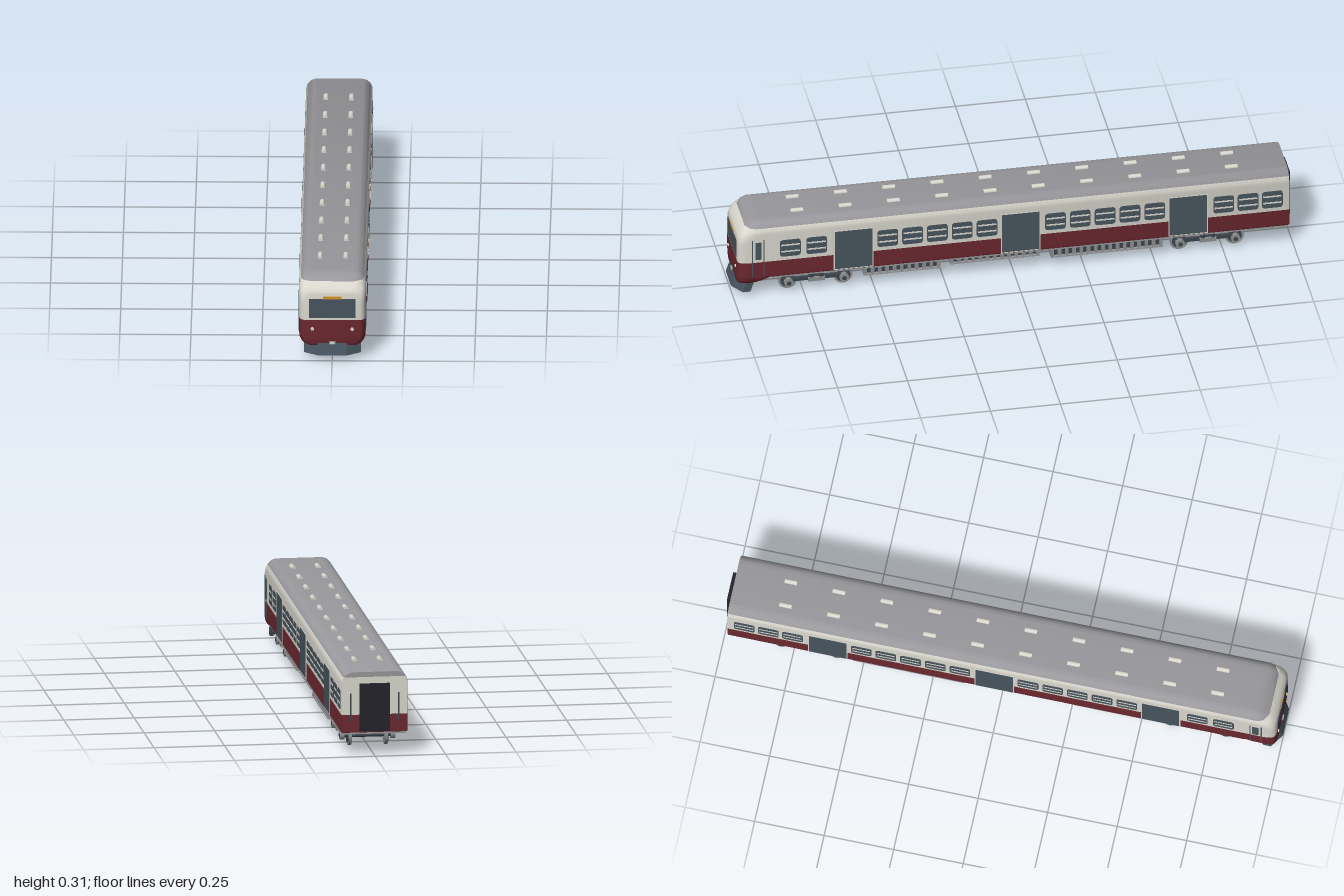
import * as THREE from 'three';
import { toCreasedNormals } from 'three/addons/utils/BufferGeometryUtils.js';

const mat = (name, color, side = THREE.FrontSide) => {
  const m = new THREE.MeshStandardMaterial({ color, side });
  m.name = name;
  return m;
};

export function createModel() {
  const red = mat('dark red', 0x6c2830), cream = mat('cream', 0xdad8ce), grey = mat('roof grey', 0x98989c);
  const glass = mat('slate glass', 0x47545e), black = mat('gangway black', 0x25242c);
  const orange = mat('sign orange', 0xd0922c), iron = mat('bogie iron', 0x3c454d), steel = mat('wheel steel', 0x8c8e90);

  const train = new THREE.Group();
  train.name = 'railcar';
  const add = (name, geo, material, x = 0, y = 0, z = 0, parent = train) => {
    const m = new THREE.Mesh(geo, material);
    m.name = name;
    m.position.set(x, y, z);
    parent.add(m);
    return m;
  };
  const box = (name, w, h, d, material, x, y, z, parent) =>
    add(name, new THREE.BoxGeometry(w, h, d), material, x, y, z, parent);

  // Body shell stations: z, half width, top, bottom, bottom corner radius
  const stations = [
    [-0.985, 0.115, 0.301, 0.085, 0.002], [-0.98, 0.117, 0.303, 0.083, 0.003],
    [0.87, 0.117, 0.303, 0.083, 0.003], [0.9, 0.117, 0.303, 0.062, 0.025],
    [0.92, 0.117, 0.303, 0.053, 0.035], [0.94, 0.117, 0.294, 0.05, 0.038],
    [0.957, 0.1165, 0.283, 0.05, 0.038], [0.97, 0.114, 0.272, 0.05, 0.038],
    [0.979, 0.109, 0.262, 0.051, 0.038], [0.984, 0.102, 0.254, 0.053, 0.036],
    [0.986, 0.096, 0.249, 0.055, 0.035],
  ];
  const halfWidth = (y, [, w, top, bottom, rb]) => {
    const rt = 0.04;
    const round = (r, d) => (d >= r ? 0 : r - Math.sqrt(Math.max(0, r * r - (r - d) ** 2)));
    return w - round(rt, top - y) - round(rb, y - bottom);
  };
  // One colour band of the shell, lofted along z and capped at both ends
  const band = (name, y0, y1, material, ease) => {
    const n = 12, ring = 2 * n, pos = [], idx = [];
    const used = stations.filter((s) => s[2] >= y0);
    for (const s of used) {
      const lo = Math.max(y0, s[3]), hi = Math.min(y1, s[2]);
      const rows = Array.from({ length: n }, (_, i) => lo + (hi - lo) * ease(i / (n - 1)));
      for (const y of rows) pos.push(halfWidth(y, s), y, s[0]);
      for (const y of rows.reverse()) pos.push(-halfWidth(y, s), y, s[0]);
    }
    for (let s = 0; s < used.length - 1; s++) {
      for (let i = 0; i < ring; i++) {
        const j = (i + 1) % ring, a = s * ring, b = a + ring;
        idx.push(a + i, a + j, b + j, a + i, b + j, b + i);
      }
    }
    const end = (used.length - 1) * ring;
    for (let i = 0; i < n - 1; i++) {
      const l = i, l2 = i + 1, r = ring - 1 - i, r2 = r - 1;
      idx.push(end + r, end + l, end + l2, end + r, end + l2, end + r2);
      idx.push(l, r, l2, l2, r, r2);
    }
    const g = new THREE.BufferGeometry();
    g.setAttribute('position', new THREE.Float32BufferAttribute(pos, 3));
    g.setIndex(idx);
    add(name, toCreasedNormals(g, 0.6), material);
  };
  const easeOut = (t) => 1 - (1 - t) ** 2;
  band('lowerBody', 0, 0.148, red, (t) => t * t);
  band('upperBody', 0.148, 0.283, cream, easeOut);
  band('roof', 0.283, 0.303, grey, easeOut);
  box('floor', 0.226, 0.008, 1.84, grey, 0, 0.08, -0.055);

  // Roof vents
  for (let i = 0; i < 10; i++) {
    for (const x of [-0.045, 0.045]) {
      const vent = add('roofVent', new THREE.CylinderGeometry(0.009, 0.009, 0.045, 12), cream, x, 0.303, -0.79 + i * 0.1727);
      vent.rotation.x = Math.PI / 2;
    }
  }

  // Rounded window pane, extruded thinly and turned to face +x
  const roundedPane = (w, h, r) => {
    const s = new THREE.Shape(), a = w / 2, b = h / 2;
    s.moveTo(-a + r, -b);
    s.lineTo(a - r, -b).quadraticCurveTo(a, -b, a, -b + r);
    s.lineTo(a, b - r).quadraticCurveTo(a, b, a - r, b);
    s.lineTo(-a + r, b).quadraticCurveTo(-a, b, -a, b - r);
    s.lineTo(-a, -b + r).quadraticCurveTo(-a, -b, -a + r, -b);
    return new THREE.ExtrudeGeometry(s, { depth: 0.002, bevelEnabled: false, curveSegments: 4 }).rotateY(Math.PI / 2);
  };
  const pane = roundedPane(0.074, 0.068, 0.012);
  const windowZ = [0.8, 0.706, -0.75, -0.837, -0.924];
  for (let i = 0; i < 5; i++) windowZ.push(0.452 - i * 0.0888, -0.148 - i * 0.0888);

  // Side windows, doors and cab door, repeated on both sides
  for (const s of [-1, 1]) {
    const x = s * 0.1175;
    for (const z of windowZ) {
      add('sideWindow', pane, glass, s > 0 ? 0.1165 : -0.1185, 0.197, z);
      for (const y of [0.184, 0.21]) box('windowBar', 0.004, 0.006, 0.066, cream, x, y, z);
    }
    for (const z of [0.574, -0.024, -0.623]) {
      box('doorFrame', 0.002, 0.16, 0.142, cream, x, 0.166, z);
      box('passengerDoor', 0.004, 0.154, 0.134, glass, x, 0.167, z);
    }
    box('cabWindow', 0.003, 0.07, 0.022, glass, x, 0.195, 0.914);
    for (const z of [0.895, 0.936]) box('cabDoorSeam', 0.003, 0.15, 0.004, glass, x * 0.998, 0.165, z);
    box('rearHandrail', 0.005, 0.1, 0.006, iron, s * 0.085, 0.175, -0.987);
  }

  // Front face
  box('windscreen', 0.164, 0.07, 0.004, glass, 0, 0.192, 0.986);
  box('destinationSign', 0.064, 0.009, 0.005, orange, 0, 0.2315, 0.986);
  for (const x of [-0.07, 0.07]) {
    const lamp = add('headlight', new THREE.CylinderGeometry(0.006, 0.006, 0.006, 16), cream, x, 0.115, 0.987);
    lamp.rotation.x = Math.PI / 2;
  }
  box('couplerCoverRim', 0.022, 0.011, 0.006, steel, 0, 0.063, 0.986);
  box('couplerCover', 0.016, 0.007, 0.008, cream, 0, 0.063, 0.987);

  // Rear gangway
  box('gangway', 0.106, 0.17, 0.018, black, 0, 0.175, -0.991);

  // Raked snowplough with chamfered corners
  const plan = [[-0.1, 0.925], [-0.1, 0.952], [-0.05, 0.985], [0.05, 0.985], [0.1, 0.952], [0.1, 0.925],
    [0.088, 0.925], [0.088, 0.945], [0.046, 0.973], [-0.046, 0.973], [-0.088, 0.945], [-0.088, 0.925]];
  const plough = new THREE.ExtrudeGeometry(new THREE.Shape(plan.map(([x, z]) => new THREE.Vector2(x, -z))),
    { depth: 0.045, bevelEnabled: false }).rotateX(-Math.PI / 2).translate(0, 0.02, 0);
  const pp = plough.attributes.position;
  for (let i = 0; i < pp.count; i++) pp.setZ(i, pp.getZ(i) + (0.065 - pp.getY(i)) * 0.33);
  plough.computeVertexNormals();
  add('snowplough', plough, glass);

  // Underfloor equipment: tray, dark core and side ribs
  for (const [z0, z1, y0] of [[0.26, 0.535, 0.04], [-0.095, 0.225, 0.05], [-0.535, -0.135, 0.036]]) {
    const len = z1 - z0, zc = (z0 + z1) / 2, h = 0.08 - y0;
    box('equipmentTray', 0.204, 0.005, len, grey, 0, y0 + 0.0025, zc);
    box('equipmentCore', 0.184, h, len - 0.01, iron, 0, y0 + h / 2 + 0.002, zc);
    box('equipmentRail', 0.204, 0.006, len, grey, 0, 0.073, zc);
    const count = Math.round(len / 0.027);
    for (let i = 0; i <= count; i++)
      box('equipmentRib', 0.2, h, 0.012, steel, 0, y0 + h / 2, z0 + 0.006 + (i * (len - 0.012)) / count);
  }

  // Bogies
  const acrossX = (r, w, n = 20) => new THREE.CylinderGeometry(r, r, w, n).rotateZ(Math.PI / 2);
  for (const zc of [0.702, -0.698]) {
    const bogie = new THREE.Group();
    bogie.name = 'bogie';
    bogie.position.z = zc;
    train.add(bogie);
    box('bolster', 0.16, 0.02, 0.05, iron, 0, 0.06, 0, bogie);
    for (const dz of [-0.099, 0.099]) {
      add('axle', acrossX(0.007, 0.17, 12), iron, 0, 0.034, dz, bogie);
      for (const s of [-1, 1]) {
        add('wheel', acrossX(0.034, 0.011), steel, s * 0.0645, 0.034, dz, bogie);
        add('wheelFlange', acrossX(0.026, 0.013), iron, s * 0.066, 0.034, dz, bogie);
        add('axleBox', acrossX(0.017, 0.016, 12), steel, s * 0.09, 0.036, dz, bogie);
        add('axleCap', acrossX(0.008, 0.018, 12), iron, s * 0.091, 0.036, dz, bogie);
      }
    }
    for (const s of [-1, 1]) {
      box('sideFrame', 0.012, 0.013, 0.22, iron, s * 0.083, 0.044, 0, bogie);
      box('springSeat', 0.02, 0.014, 0.06, steel, s * 0.088, 0.043, 0, bogie);
      for (const dz of [-0.018, 0.018])
        add('spring', new THREE.CylinderGeometry(0.008, 0.008, 0.03, 10), iron, s * 0.088, 0.063, dz, bogie);
    }
  }
  return train;
}
